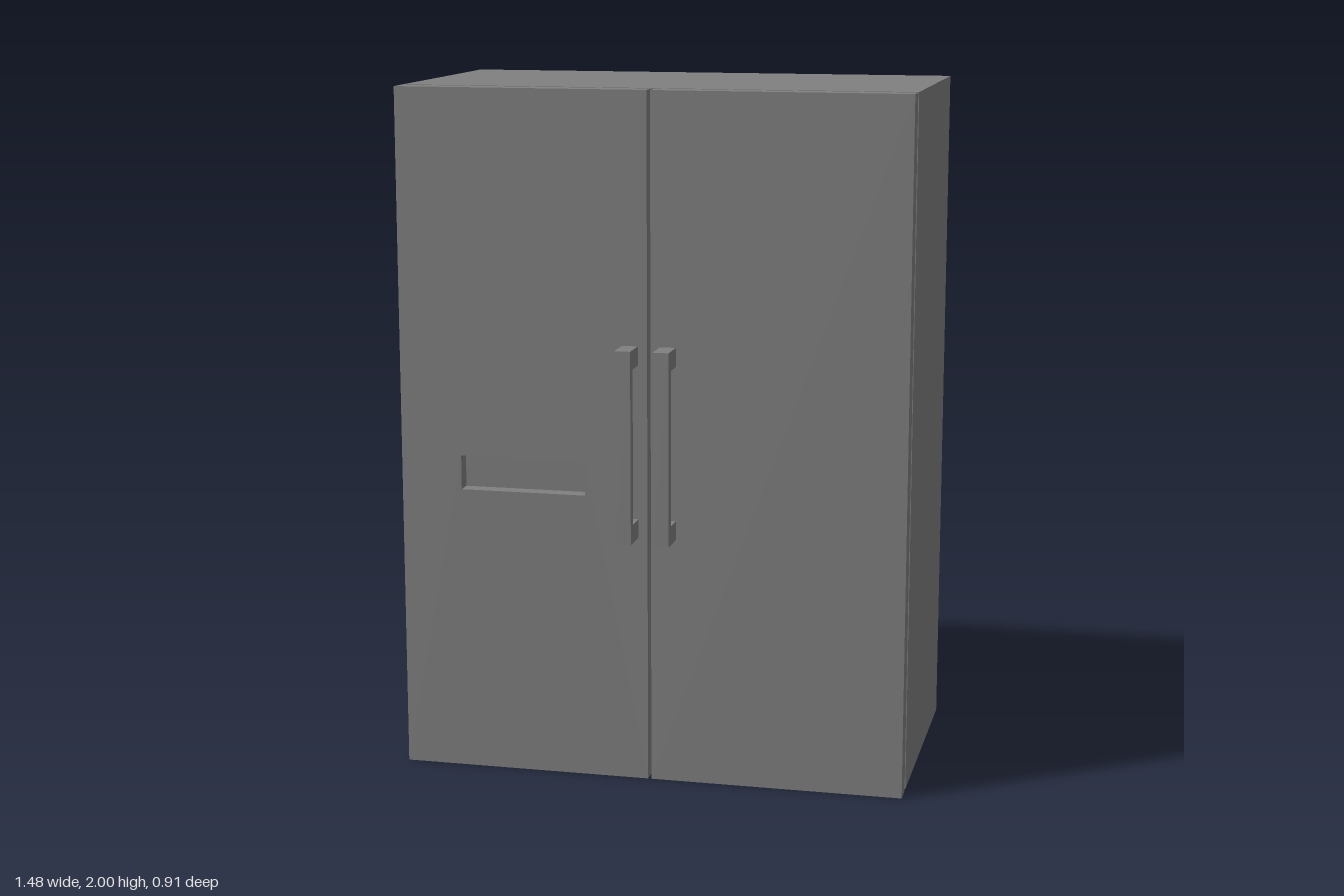
import * as THREE from 'three';

const HEIGHT = 2, HALF_W = 0.74;
const BODY_BACK = -0.455, BODY_FRONT = 0.286;
const DOOR_BACK = 0.303, DOOR_FRONT = 0.365, DOOR_GAP = 0.005;
const RECESS_DEPTH = 0.045;

const polygon = (points, Type = THREE.Shape) =>
  new Type(points.map(([x, y]) => new THREE.Vector2(x, y)));

const rectangle = (x0, y0, x1, y1, Type) =>
  polygon([[x0, y0], [x1, y0], [x1, y1], [x0, y1]], Type);

const extrude = (shape, depth) =>
  new THREE.ExtrudeGeometry(shape, { depth, bevelEnabled: false });

// Box given by its two opposite corners
function box(x0, y0, z0, x1, y1, z1) {
  return new THREE.BoxGeometry(x1 - x0, y1 - y0, z1 - z0)
    .translate((x0 + x1) / 2, (y0 + y1) / 2, (z0 + z1) / 2);
}

export function createModel() {
  const model = new THREE.Group();
  model.name = 'refrigerator';
  const grey = new THREE.MeshStandardMaterial({ color: 0x808080 });
  grey.name = 'grey';

  const add = (name, geometry) => {
    const mesh = new THREE.Mesh(geometry, grey);
    mesh.name = name;
    model.add(mesh);
  };

  // Cabinet
  add('cabinet', box(-HALF_W, 0, BODY_BACK, HALF_W, HEIGHT, BODY_FRONT));

  // Left door is a plain slab
  add('leftDoor', box(DOOR_GAP, 0, DOOR_BACK, HALF_W, HEIGHT, DOOR_FRONT));

  // Right door has a dispenser opening closed by a set-back panel
  const opening = [-0.56, 0.84, -0.19, 0.94];
  const door = rectangle(-HALF_W, 0, -DOOR_GAP, HEIGHT);
  door.holes.push(rectangle(...opening, THREE.Path));
  add('rightDoor', extrude(door, DOOR_FRONT - DOOR_BACK).translate(0, 0, DOOR_BACK));
  const [x0, y0, x1, y1] = opening;
  add('dispenserBack', box(x0, y0, DOOR_BACK, x1, y1, DOOR_FRONT - RECESS_DEPTH));

  // C-shaped handles: side profile (z, y) extruded across their width
  const back = DOOR_FRONT, inner = 0.427, front = 0.455;
  const profile = polygon([
    [back, 0.724], [front, 0.724], [front, 1.281], [back, 1.281],
    [back, 1.226], [inner, 1.226], [inner, 0.779], [back, 0.779],
  ]);
  const handleWidth = 0.046, handleCentre = 0.055;
  for (const [side, sign] of [['left', 1], ['right', -1]]) {
    const handle = extrude(profile, handleWidth)
      .translate(0, 0, -handleWidth / 2)
      .rotateY(-Math.PI / 2) // profile x becomes z
      .translate(sign * handleCentre, 0, 0);
    add(side + 'Handle', handle);
  }

  return model;
}
